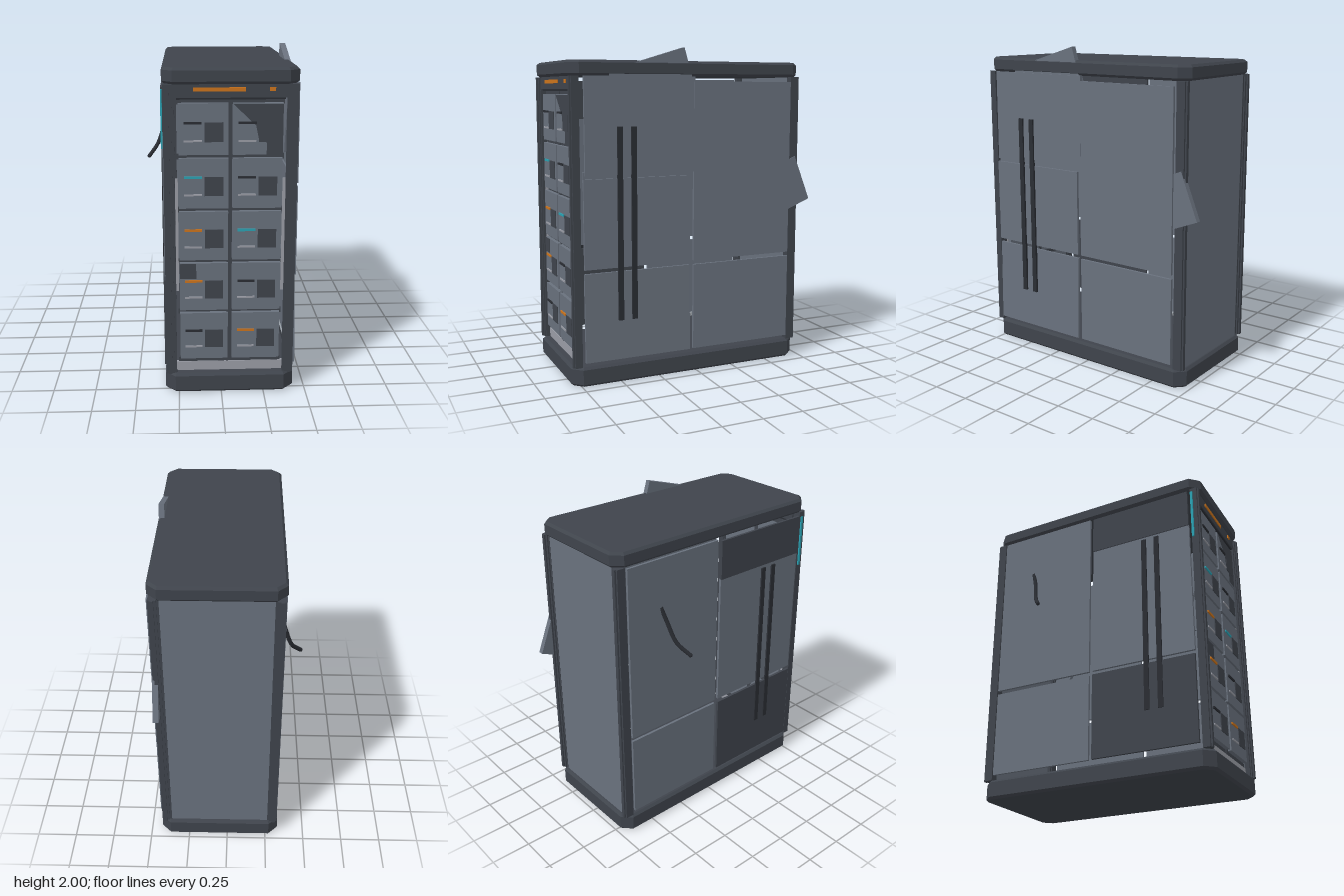
import * as THREE from 'three';

const mat = (name, color) => {
  const m = new THREE.MeshStandardMaterial({ color });
  m.name = name;
  return m;
};

export function createModel() {
  const root = new THREE.Group();
  root.name = 'equipmentCabinet';
  const charcoal = mat('charcoal', 0x3f444c);
  const steel = mat('steel', 0x69717d);
  const black = mat('black', 0x2a2d33);
  const pale = mat('paleGrey', 0x9a9da6);
  const orange = mat('orange', 0xcc741c);
  const teal = mat('teal', 0x2aa3b4);

  const CX = 0.05, CZ = 0.04; // cabinet body centre

  // Box from its minimum and maximum corners
  function box(name, m, x0, x1, y0, y1, z0, z1, parent = root) {
    const mesh = new THREE.Mesh(new THREE.BoxGeometry(x1 - x0, y1 - y0, z1 - z0), m);
    mesh.position.set((x0 + x1) / 2, (y0 + y1) / 2, (z0 + z1) / 2);
    mesh.name = name;
    parent.add(mesh);
    return mesh;
  }

  // Roof and plinth: chamfered slabs with bevelled rims
  function slab(name, y0, y1) {
    const b = 0.015, w = 0.38 - b, d = 0.763 - b, c = 0.05;
    const s = new THREE.Shape([
      [-w + c, -d], [w - c, -d], [w, -d + c], [w, d - c],
      [w - c, d], [-w + c, d], [-w, d - c], [-w, -d + c],
    ].map(([x, y]) => new THREE.Vector2(x, y)));
    const g = new THREE.ExtrudeGeometry(s, {
      depth: y1 - y0 - 2 * b, bevelEnabled: true, bevelThickness: b, bevelSize: b, bevelSegments: 1,
    });
    g.rotateX(-Math.PI / 2);
    const mesh = new THREE.Mesh(g, charcoal);
    mesh.position.set(CX, y0 + b, CZ);
    mesh.name = name;
    root.add(mesh);
  }
  slab('plinth', 0, 0.12);
  slab('roof', 1.83, 1.92);

  // Corner posts, each with an outer rib and an inner rail
  for (const s of [-1, 1]) {
    for (const [label, z0, z1] of [['front', 0.745, 0.79], ['rear', -0.71, -0.655]]) {
      const post = new THREE.Group();
      post.name = label + 'Post';
      root.add(post);
      const bar = (n, m, a, b, za, zb) =>
        box(n, m, CX + Math.min(s * a, s * b), CX + Math.max(s * a, s * b), 0.12, 1.83, za, zb, post);
      bar('postCore', charcoal, 0.325, 0.373, z0, z1);
      bar('postRail', charcoal, 0.312, 0.33, z0 + 0.008, z1 - 0.008);
      const zOut = label === 'front' ? z1 : z0 - 0.01;
      bar('postRib', charcoal, 0.34, 0.362, zOut, zOut + 0.01);
    }
    // Pale rail beside the drawers
    const xr = CX + s * 0.303;
    box('paleRail', pale, xr - 0.008, xr + 0.008, 0.63, 1.3, 0.75, 0.765);
  }

  // Rear panel
  box('rearPanel', steel, -0.275, 0.375, 0.12, 1.83, -0.70, -0.685);

  // Header with indicator lights, and bottom sill
  box('header', charcoal, -0.265, 0.365, 1.755, 1.83, 0.74, 0.78);
  box('headerLip', black, -0.25, 0.35, 1.745, 1.757, 0.74, 0.775);
  box('indicatorStrip', orange, -0.155, 0.13, 1.79, 1.812, 0.78, 0.786);
  box('indicatorDot', orange, 0.262, 0.295, 1.79, 1.812, 0.78, 0.786);
  box('sill', pale, -0.265, 0.365, 0.122, 0.178, 0.735, 0.755);

  // Frame bars behind the drawer gaps
  for (let i = 0; i <= 5; i++) {
    const y = 0.19 + i * 0.3085;
    box('crossBar', charcoal, -0.25, 0.35, y - 0.016, y + 0.016, 0.735, 0.75);
  }
  box('centreBar', charcoal, 0.03, 0.06, 0.18, 1.75, 0.735, 0.755);

  // Two columns of five drawers, top to bottom
  const tags = [
    [black, teal, orange, orange, black],
    [black, black, teal, black, orange],
  ];
  tags.forEach((column, c) => column.forEach((tag, r) => {
    const drawer = new THREE.Group();
    drawer.name = 'drawer';
    drawer.position.set(-0.24 + c * 0.302, 1.437 - r * 0.3075, 0);
    root.add(drawer);
    const F = 0.775;
    box('drawerFace', steel, 0, 0.278, 0, 0.288, 0.737, F, drawer);
    box('drawerVent', charcoal, 0.145, 0.25, 0.073, 0.183, F, F + 0.005, drawer);
    box('drawerTag', tag, 0.03, 0.13, 0.173, 0.186, F, F + 0.008, drawer);
    box('drawerLabel', pale, 0.03, 0.13, 0.074, 0.084, F, F + 0.006, drawer);
  }));

  // Dark patches on two drawers
  const patch = new THREE.Shape([
    [0.065, 1.72], [0.34, 1.72], [0.34, 1.437], [0.25, 1.437], [0.25, 1.505], [0.205, 1.53], [0.19, 1.6],
  ].map(([x, y]) => new THREE.Vector2(x, y)));
  const patchMesh = new THREE.Mesh(new THREE.ShapeGeometry(patch), charcoal);
  patchMesh.position.z = 0.778;
  patchMesh.name = 'darkPatch';
  root.add(patchMesh);
  box('darkPatch', charcoal, -0.24, -0.145, 0.71, 0.8, 0.775, 0.778);

  // Left side (+x) panels: y0, y1, z0, z1, outward lean
  for (const [y0, y1, z0, z1, lean] of [
    [0.15, 0.685, 0.055, 0.73, -0.02],
    [0.71, 1.24, 0.055, 0.73, 0],
    [1.26, 1.83, 0.02, 0.72, -0.008],
    [0.15, 0.685, -0.645, 0.03, 0],
    [0.71, 1.8, -0.645, 0.03, 0],
  ]) {
    const p = box('leftSidePanel', steel, 0.422, 0.438, y0, y1, z0, z1);
    p.rotation.z = -lean;
  }
  // Seam backing strip
  box('seamStrip', steel, 0.41, 0.42, 1.22, 1.28, 0.0, 0.73);

  // Right side (-x) panels
  for (const [m, y0, y1, z0, z1, x] of [
    [charcoal, 0.15, 0.685, 0.055, 0.73, -0.334],
    [steel, 0.71, 1.56, 0.055, 0.73, -0.33],
    [charcoal, 1.56, 1.81, 0.055, 0.73, -0.336],
    [steel, 0.15, 0.685, -0.645, 0.03, -0.328],
    [steel, 0.71, 1.82, -0.645, 0.03, -0.328],
  ]) box('rightSidePanel', m, x, x + 0.016, y0, y1, z0, z1);
  box('sideLight', teal, -0.336, -0.327, 1.47, 1.8, 0.75, 0.765);

  // Vertical guide strips on both sides
  for (const z of [0.405, 0.492]) {
    box('guideStrip', black, 0.435, 0.45, 0.39, 1.54, z, z + 0.032);
    box('guideStrip', black, -0.34, -0.328, 0.39, 1.54, z, z + 0.032);
  }

  // Loose plates poking out of the roof and the back, placed by their outer corner
  function loosePlate(name, y, z, angle, w, h, sz, sy) {
    const g = new THREE.BoxGeometry(0.034, h, w);
    g.translate(0, sy * h / 2, sz * w / 2);
    const mesh = new THREE.Mesh(g, steel);
    mesh.position.set(0.41, y, z);
    mesh.rotation.x = angle;
    mesh.name = name;
    root.add(mesh);
  }
  loosePlate('loosePlateTop', 2.0, 0.09, 0.29, 0.5, 0.5, 1, -1);
  loosePlate('loosePlateBack', 1.05, -0.805, 0.38, 0.25, 0.3, 1, 1);

  // Curved loose cable on the right side
  const curve = new THREE.CatmullRomCurve3([
    [-0.32, 1.52, -0.41], [-0.342, 1.42, -0.38], [-0.385, 1.29, -0.345], [-0.445, 1.21, -0.288],
  ].map((p) => new THREE.Vector3(...p)));
  const cable = new THREE.Mesh(new THREE.TubeGeometry(curve, 16, 0.013, 8), black);
  cable.name = 'looseCable';
  root.add(cable);
  const tip = new THREE.Mesh(new THREE.SphereGeometry(0.013, 8, 6), black);
  tip.position.copy(curve.getPoint(1));
  tip.name = 'cableEnd';
  root.add(tip);

  return root;
}
